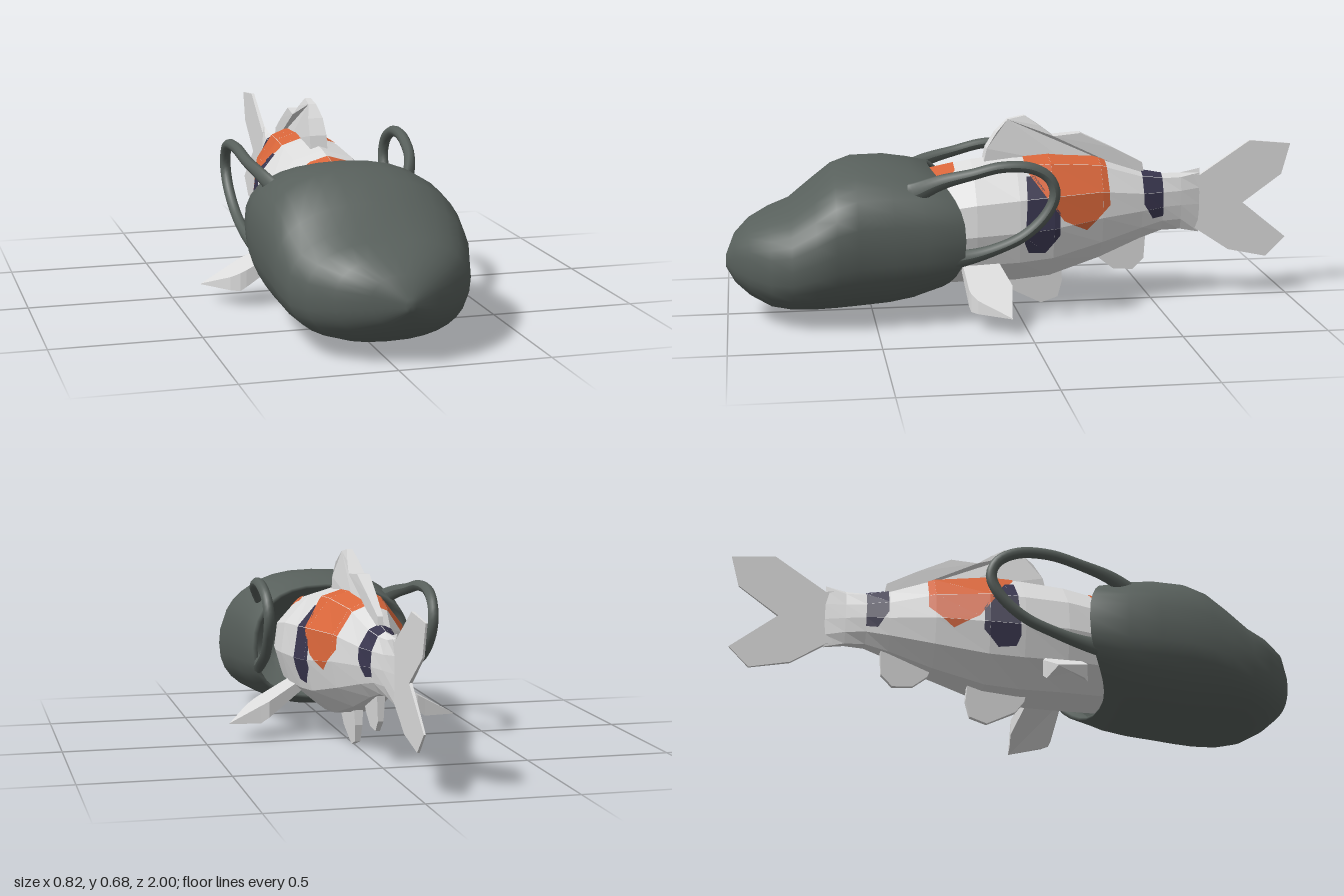
import * as THREE from 'three';

const paint = (name, color, extra = {}) => Object.assign(new THREE.MeshStandardMaterial({ color, ...extra }), { name });

// Joins rings of points (counterclockwise from the front, ordered front to back)
function loft(rings, capFront, capBack) {
  const n = rings[0].length, pos = rings.flat(2), idx = [];
  for (let i = 0; i < rings.length - 1; i++) for (let j = 0; j < n; j++) {
    const a = i * n + j, b = i * n + (j + 1) % n;
    idx.push(a, a + n, b, b, a + n, b + n);
  }
  const cap = (row, flip) => {
    const c = pos.length / 3;
    for (let k = 0; k < 3; k++) pos.push(rings[row].reduce((s, p) => s + p[k], 0) / n);
    for (let j = 0; j < n; j++) {
      const a = row * n + j, b = row * n + (j + 1) % n;
      idx.push(c, ...(flip ? [b, a] : [a, b]));
    }
  };
  if (capFront) cap(0, false);
  if (capBack) cap(rings.length - 1, true);
  const g = new THREE.BufferGeometry();
  g.setAttribute('position', new THREE.Float32BufferAttribute(pos, 3));
  g.setIndex(idx);
  g.computeVertexNormals();
  return g;
}

// Extrudes an outline by one unit, then moves each vertex by a rule
function plate(outline, rule) {
  const shape = new THREE.Shape(outline.map(p => new THREE.Vector2(...p)));
  const g = new THREE.ExtrudeGeometry(shape, { depth: 1, bevelEnabled: false });
  const p = g.attributes.position;
  for (let i = 0; i < p.count; i++) p.setXYZ(i, ...rule(p.getX(i), p.getY(i), p.getZ(i)));
  g.computeVertexNormals();
  return g;
}

// Upright centre fin from a (z, y) outline with a varying half thickness
const centreFin = (outline, half) => plate(outline, (z, y, s) => [(1 - 2 * s) * half(z, y), y, z]);

// Cuts a convex patch out of a surface, seen along one axis, and lifts it slightly
function patch(surface, poly, project, accept = () => true) {
  const area = poly.reduce((s, p, i) => {
    const q = poly[(i + 1) % poly.length];
    return s + p[0] * q[1] - q[0] * p[1];
  }, 0);
  const p = surface.attributes.position, out = [];
  for (let t = 0; t < p.count; t += 3) {
    let pts = [0, 1, 2].map(k => new THREE.Vector3().fromBufferAttribute(p, t + k));
    const normal = new THREE.Triangle(...pts).getNormal(new THREE.Vector3());
    if (!accept(normal)) continue;
    poly.forEach((a, i) => {
      const b = poly[(i + 1) % poly.length];
      const side = v => {
        const [u, w] = project(v);
        return ((b[0] - a[0]) * (w - a[1]) - (b[1] - a[1]) * (u - a[0])) * Math.sign(area);
      };
      const kept = [];
      pts.forEach((v, k) => {
        const next = pts[(k + 1) % pts.length], s = side(v), e = side(next);
        if (s >= 0) kept.push(v);
        if (s * e < 0) kept.push(v.clone().lerp(next, s / (s - e)));
      });
      pts = kept;
    });
    pts = pts.map(v => v.clone().addScaledVector(normal, 0.003));
    for (let k = 1; k < pts.length - 1; k++)
      for (const v of [pts[0], pts[k], pts[k + 1]]) out.push(v.x, v.y, v.z);
  }
  const g = new THREE.BufferGeometry();
  g.setAttribute('position', new THREE.Float32BufferAttribute(out, 3));
  g.computeVertexNormals();
  return g;
}

export function createModel() {
  const model = new THREE.Group();
  model.name = 'hoodedFish';
  const white = paint('fish white', 0xdcdcdc, { flatShading: true });
  const orange = paint('patch orange', 0xd9663a, { flatShading: true });
  const navy = paint('patch navy', 0x39364f, { flatShading: true });
  const grey = paint('hood grey', 0x58605c, { side: THREE.DoubleSide });
  const add = (name, geometry, material) => {
    const mesh = new THREE.Mesh(geometry, material);
    mesh.name = name;
    model.add(mesh);
    return mesh;
  };

  // Body: z, top, bottom, half width
  const section = [[1, -0.1], [0.93, 0.4], [0.5, 0.86], [0, 1], [-0.5, 0.86], [-0.93, 0.4],
    [-1, -0.1], [-0.85, -0.6], [-0.4, -0.97], [0.4, -0.97], [0.85, -0.6]];
  const stations = [
    [0.75, 0.34, 0.2, 0.06], [0.6, 0.42, 0.14, 0.13], [0.45, 0.46, 0.11, 0.17], [0.3, 0.495, 0.1, 0.195],
    [0.15, 0.525, 0.1, 0.205], [0, 0.54, 0.1, 0.195], [-0.12, 0.545, 0.11, 0.178], [-0.3, 0.525, 0.165, 0.127],
    [-0.45, 0.47, 0.225, 0.075], [-0.53, 0.455, 0.25, 0.048], [-0.6, 0.455, 0.25, 0.028], [-0.67, 0.47, 0.235, 0.008]];
  const body = loft(stations.map(([z, top, bot, w]) =>
    section.map(([x, y]) => [x * w, (top + bot) / 2 + y * (top - bot) / 2, z])), true, true).toNonIndexed();
  add('body', body, white);

  // Painted patches
  const fromSide = v => [v.z, v.y], fromTop = v => [v.x, v.z];
  add('saddlePatch', patch(body, [[-0.03, 0.6], [-0.32, 0.6], [-0.325, 0.37], [-0.24, 0.29],
    [-0.155, 0.33], [-0.03, 0.5]], fromSide), orange);
  add('headPatch', patch(body, [[-0.06, 0.21], [0.06, 0.21], [0.115, 0.25], [0.115, 0.4],
    [-0.115, 0.4], [-0.115, 0.25]], fromTop, n => n.y > 0.2), orange);
  add('flankPatches', patch(body, [[-0.03, 0.48], [-0.06, 0.48], [-0.14, 0.36], [-0.14, 0.28],
    [-0.09, 0.22], [-0.03, 0.225], [-0.015, 0.26]], fromSide), navy);
  add('tailBand', patch(body, [[-0.455, 0.6], [-0.53, 0.6], [-0.53, 0.31], [-0.49, 0.305],
    [-0.455, 0.36]], fromSide), navy);

  // Fins along the centre line
  add('dorsalFin', centreFin([[0.11, 0.5], [0.095, 0.565], [0.06, 0.62], [0.02, 0.663], [-0.04, 0.675], [-0.09, 0.64],
    [-0.14, 0.602], [-0.235, 0.61], [-0.35, 0.555], [-0.46, 0.497], [-0.47, 0.44], [-0.2, 0.5]],
    (z, y) => Math.min(0.03, 0.01 + Math.max(0, 0.675 - y) * 0.29) * (z < -0.1 ? Math.max(0.3, 1 + (z + 0.1) * 1.9) : 1)), white);
  add('tailFin', centreFin([[-0.64, 0.45], [-0.67, 0.445], [-0.85, 0.565], [-1, 0.55], [-0.97, 0.44], [-0.83, 0.34],
    [-0.99, 0.21], [-0.92, 0.14], [-0.78, 0.17], [-0.66, 0.25], [-0.64, 0.25]],
    z => 0.003 + Math.max(0, z + 1) * 0.014), white);
  add('pelvicFin', centreFin([[0.04, 0.13], [0.03, 0.09], [0, 0.05], [-0.1, 0], [-0.16, 0.02], [-0.175, 0.08], [-0.17, 0.14]],
    (z, y) => 0.008 + y * 0.06), white);
  add('analFin', centreFin([[-0.29, 0.2], [-0.31, 0.155], [-0.36, 0.115], [-0.43, 0.11], [-0.47, 0.15], [-0.475, 0.25]],
    (z, y) => 0.007 + (y - 0.1) * 0.05), white);

  // Pectoral fins: sloping wedges
  const pectoral = plate([[0.14, -0.2], [0.28, -0.19], [0.3, -0.185], [0.33, -0.165], [0.41, -0.06], [0.3, -0.045],
    [0.27, -0.04], [0.14, -0.08]], (x, s, t) => {
    const top = 0.06 + (0.41 - x) * 0.54, bottom = 0.057 + Math.max(0, 0.3 - x) * 0.7;
    return [x, t ? top : Math.min(bottom, top - 0.003), -s];
  });
  add('leftPectoralFin', pectoral, white);
  add('rightPectoralFin', pectoral, white).scale.x = -1;

  // Hood: z, top, bottom, right edge, left edge, backward sweep of the sides
  const hood = [
    [1, 0.22, 0.18, 0.02, 0.055, 0], [0.97, 0.29, 0.13, -0.08, 0.14, 0], [0.92, 0.335, 0.085, -0.18, 0.21, 0],
    [0.85, 0.37, 0.048, -0.25, 0.275, 0], [0.78, 0.395, 0.036, -0.288, 0.31, 0], [0.7, 0.46, 0.035, -0.31, 0.335, 0],
    [0.63, 0.515, 0.036, -0.318, 0.338, 0], [0.56, 0.54, 0.038, -0.322, 0.33, 0], [0.45, 0.542, 0.045, -0.32, 0.32, 0.01],
    [0.37, 0.53, 0.06, -0.31, 0.312, 0.04], [0.3, 0.513, 0.09, -0.288, 0.298, 0.1], [0.305, 0.5, 0.1, -0.27, 0.28, 0.1],
    [0.34, 0.5, 0.1, -0.27, 0.28, 0.06]];
  const sides = 32, soft = v => Math.sign(v) * Math.abs(v) ** 0.82;
  add('hood', loft(hood.map(([z, top, bot, x0, x1, sweep]) => Array.from({ length: sides }, (_, j) => {
    const a = j / sides * Math.PI * 2, c = Math.cos(a), s = Math.sin(a);
    return [(x0 + x1) / 2 + soft(c) * (x1 - x0) / 2, (top + bot) / 2 + soft(s) * (top - bot) / 2, z - sweep * c * c];
  })), true, false), grey);

  // Ear loops, thicker where they join the hood
  const loop = [[0.23, 0.45, 0.38], [0.27, 0.5, 0.28], [0.293, 0.528, 0.18], [0.302, 0.552, 0.08], [0.304, 0.546, -0.02],
    [0.3, 0.51, -0.08], [0.297, 0.455, -0.1], [0.295, 0.39, -0.075], [0.29, 0.315, 0], [0.285, 0.268, 0.1],
    [0.275, 0.24, 0.2], [0.265, 0.23, 0.3]];
  const earLoop = (name, place) => {
    const curve = new THREE.CatmullRomCurve3(loop.map(p => new THREE.Vector3(...place(p))));
    const n = 60, m = 10, g = new THREE.TubeGeometry(curve, n, 0.019, m);
    const p = g.attributes.position, v = new THREE.Vector3();
    for (let i = 0; i <= n; i++) {
      const centre = curve.getPointAt(i / n), end = Math.max(0, Math.abs(i / n - 0.5) - 0.25) * 4;
      for (let j = 0; j <= m; j++) {
        const k = i * (m + 1) + j;
        v.fromBufferAttribute(p, k).sub(centre);
        v.y *= 1 + 1.3 * end * end;
        v.add(centre);
        p.setXYZ(k, v.x, v.y, v.z);
      }
    }
    g.computeVertexNormals();
    add(name, g, grey);
  };
  earLoop('leftEarLoop', p => p);
  earLoop('rightEarLoop', ([x, y, z]) => [0.022 - x, y - 0.024, 0.2 + (z - 0.2) * 1.13]);
  return model;
}
